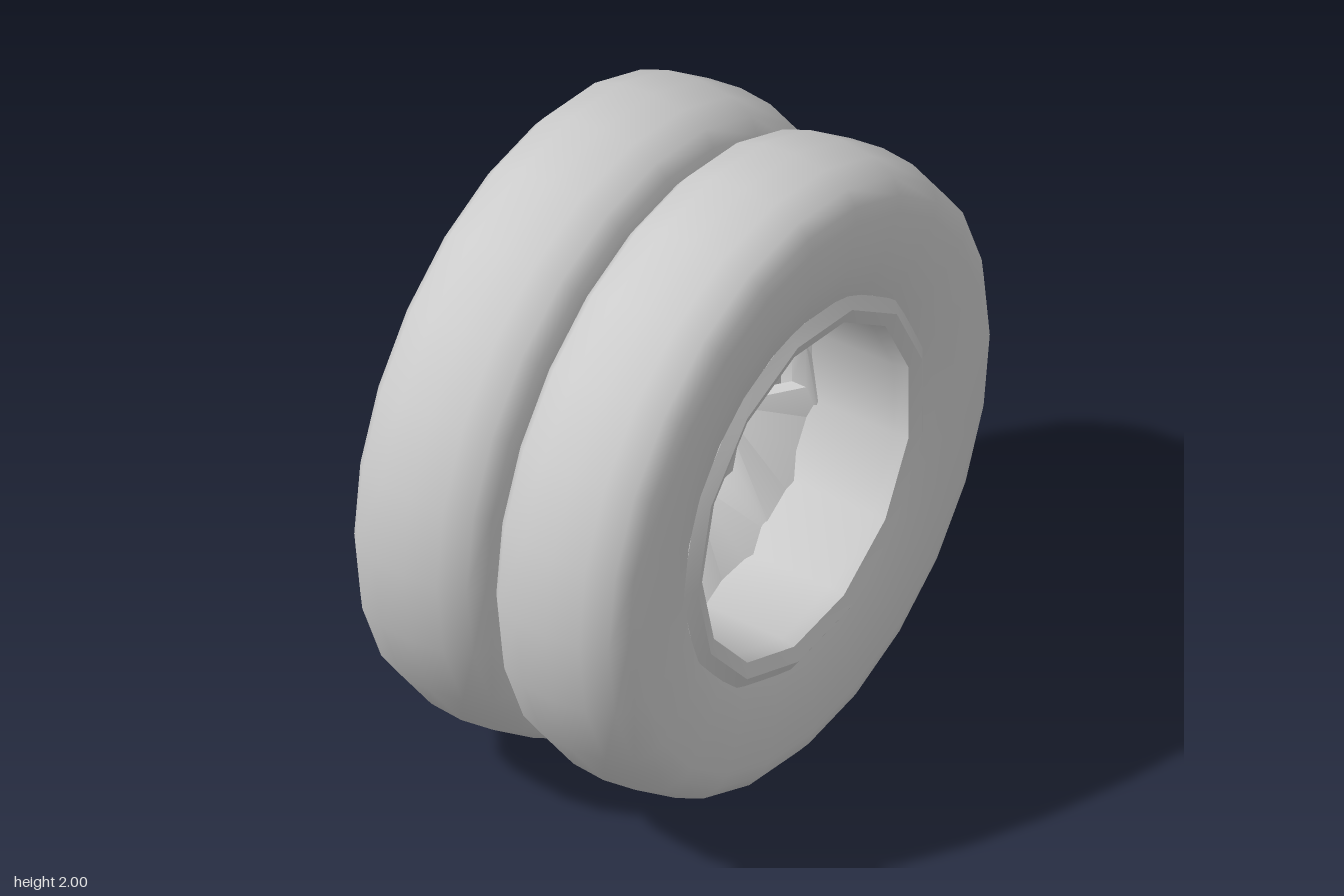
import * as THREE from 'three';
import { toCreasedNormals } from 'three/addons/utils/BufferGeometryUtils.js';

const grey = new THREE.MeshStandardMaterial({ color: 0xcccccc });
grey.name = 'lightGrey';

const part = (name, geometry, crease = 0.9) => {
  const mesh = new THREE.Mesh(toCreasedNormals(geometry, crease), grey);
  mesh.name = name;
  return mesh;
};

// Turned part around the x axis; profile points are [radius, x]
const turned = (profile, sides) =>
  new THREE.LatheGeometry(profile.map(([r, x]) => new THREE.Vector2(r, x)), sides).rotateZ(-Math.PI / 2);

// One sloping sector of the wheel disc, drawn as angle by radius, then wrapped into a cone
function discSector(centre, withHole) {
  const half = Math.PI / 9, r0 = 0.34, r1 = 0.53;
  const shape = new THREE.Shape();
  shape.moveTo(-half, r0);
  for (const t of [-1 / 3, 1 / 3, 1]) shape.lineTo(half * t, r0);
  for (const t of [1, 1 / 3, -1 / 3, -1]) shape.lineTo(half * t, r1);
  shape.closePath();
  if (withHole) {
    const pts = [];
    for (let i = 0; i < 5; i++) {
      const a = (i / 5) * Math.PI * 2 - Math.PI / 2;
      pts.push(new THREE.Vector2(0.27 * Math.cos(a), 0.427 + 0.085 * Math.sin(a)));
    }
    shape.holes.push(new THREE.Path(pts));
  }
  const geometry = new THREE.ExtrudeGeometry(shape, { depth: 0.05, bevelEnabled: false });
  const p = geometry.attributes.position;
  for (let i = 0; i < p.count; i++) {
    const a = p.getX(i) + centre, r = p.getY(i);
    p.setXYZ(i, -0.353 + (r - r0) * 1.18 + p.getZ(i), r * Math.cos(a), -r * Math.sin(a));
  }
  return geometry;
}

function createWheel() {
  const wheel = new THREE.Group();

  // Tyre: half profile mirrored across the middle
  const half = [[0.57, -0.2], [0.62, -0.222], [0.72, -0.243], [0.87, -0.244], [0.915, -0.232],
    [0.96, -0.195], [0.99, -0.11]];
  const mirrored = half.map(([r, x]) => [r, -x]).reverse();
  wheel.add(part('tyre', turned([...half, [1, 0], ...mirrored], 24), 1.2));

  // Rim: two rolled flanges joined by the barrel
  wheel.add(part('rim', turned([[0.53, -0.225], [0.575, -0.242], [0.617, -0.215], [0.58, 0],
    [0.617, 0.215], [0.575, 0.242], [0.53, 0.225], [0.52, 0.18], [0.515, -0.18], [0.53, -0.225]], 13)));

  // Sloping disc with three openings
  const disc = new THREE.Group();
  disc.name = 'slopingDisc';
  for (let i = 0; i < 9; i++)
    disc.add(part('discSector', discSector(-Math.PI / 6 + (i * Math.PI * 2) / 9, i % 3 === 0)));
  wheel.add(disc);

  // Flat centre with recessed stub
  wheel.add(part('discCentre', turned([[0, -0.355], [0.06, -0.355], [0.06, -0.305], [0.11, -0.3],
    [0.17, -0.353], [0.345, -0.353], [0.345, -0.303], [0.22, -0.28], [0.14, -0.23], [0, -0.23]], 15), 0.6));

  // Five-sided hub facing the inside of the dish
  const hub = new THREE.CylinderGeometry(0.155, 0.165, 0.18, 5, 1, false, -Math.PI / 2);
  hub.rotateZ(-Math.PI / 2).translate(-0.19, 0, 0);
  wheel.add(part('hub', hub, 0.3));

  // Small stud tips
  for (const z of [-0.1, 0.1]) {
    const stud = new THREE.CylinderGeometry(0.008, 0.03, 0.05, 4, 1, false, Math.PI / 4);
    stud.scale(1, 1, 0.5).rotateY(-0.7).translate(-0.41, -0.15, z);
    wheel.add(part('stud', stud, 0.3));
  }
  return wheel;
}

export function createModel() {
  const model = new THREE.Group();
  model.name = 'dualWheel';
  // Two matching wheels side by side on one axis
  [['rightWheel', -0.157], ['leftWheel', 0.344]].forEach(([name, x]) => {
    const wheel = createWheel();
    wheel.name = name;
    wheel.position.set(x, 1, 0);
    model.add(wheel);
  });
  return model;
}
